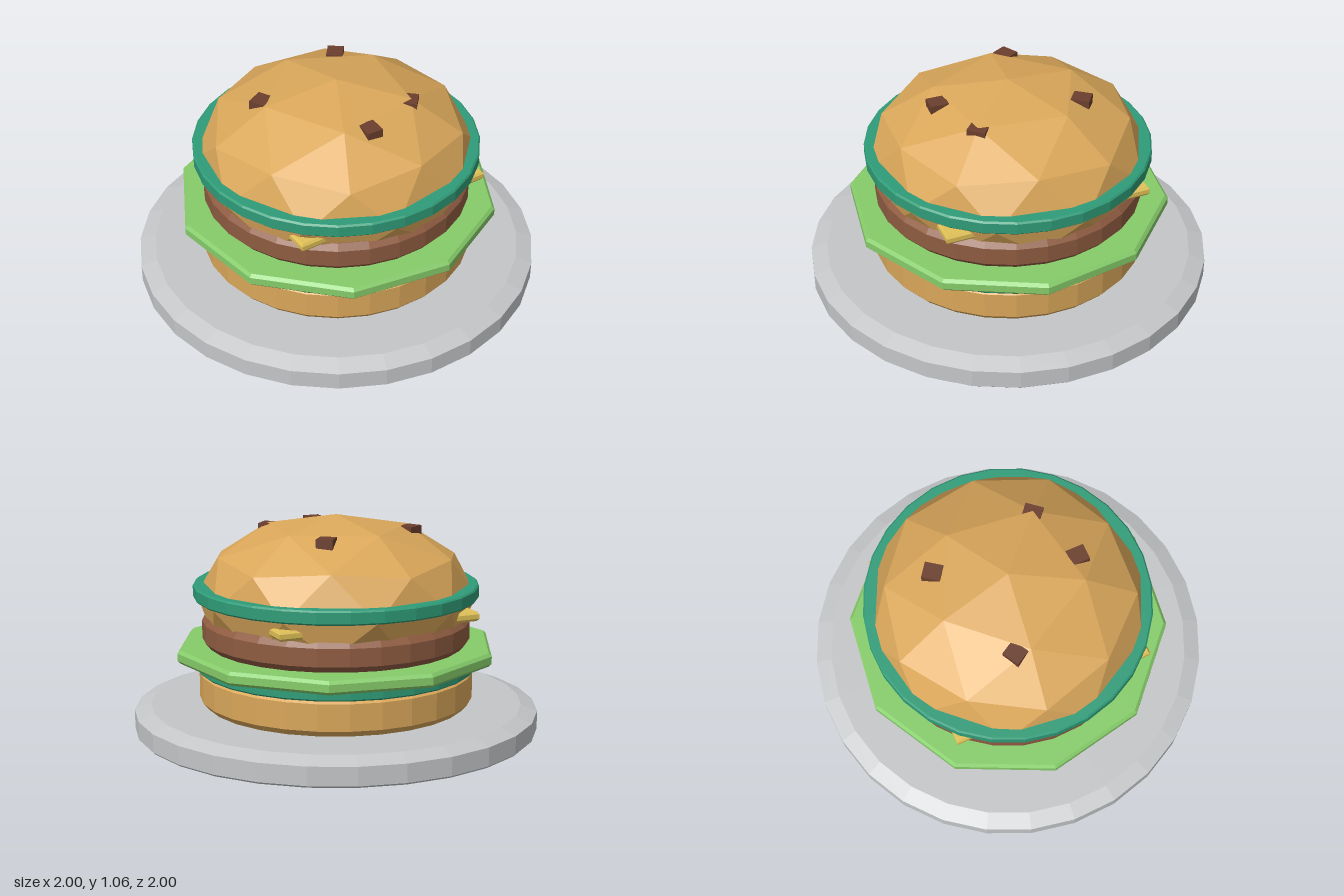
import * as THREE from 'three';

const material = (name, color) => {
  const m = new THREE.MeshStandardMaterial({ color, flatShading: true });
  m.name = name;
  return m;
};

export function createModel() {
  const group = new THREE.Group();
  const mats = {
    plate: material('plate grey', 0xc4c6c8),
    bun: material('bun tan', 0xdaa75a),
    teal: material('teal garnish', 0x2f9c78),
    lettuce: material('lettuce green', 0x86cc6a),
    patty: material('patty brown', 0x8f5c41),
    cheese: material('cheese yellow', 0xe2c258),
    crumb: material('crumb brown', 0x6b3f2d),
  };

  const add = (name, geometry, mat) => {
    const mesh = new THREE.Mesh(geometry, mat);
    mesh.name = name;
    group.add(mesh);
    return mesh;
  };

  // Closed disc with bevelled rims; bevels are [inset, height]
  const disc = (name, mat, r, y0, y1, low, high, sides = 28, start = 0) => {
    const profile = [
      [0, y0], [r - low[0], y0], [r, y0 + low[1]],
      [r, y1 - high[1]], [r - high[0], y1], [0, y1],
    ].map(([x, y]) => new THREE.Vector2(x, y));
    return add(name, new THREE.LatheGeometry(profile, sides, start), mat);
  };

  // Stacked layers from the plate upwards
  disc('plate', mats.plate, 1, 0, 0.13, [0.01, 0.01], [0.08, 0.03]);
  disc('bottomBun', mats.bun, 0.677, 0.13, 0.31, [0.025, 0.03], [0.025, 0.02]);
  disc('lowerGarnish', mats.teal, 0.69, 0.305, 0.366, [0.008, 0.008], [0.008, 0.008]);
  disc('lettuce', mats.lettuce, 0.795, 0.362, 0.428, [0.015, 0.015], [0.015, 0.015], 10, Math.PI / 2);
  disc('patty', mats.patty, 0.66, 0.428, 0.575, [0.025, 0.03], [0.025, 0.03]);
  disc('cheese', mats.cheese, 0.73, 0.582, 0.628, [0.012, 0.012], [0.012, 0.012], 4);
  disc('upperGarnish', mats.teal, 0.702, 0.66, 0.728, [0.008, 0.008], [0.008, 0.008]);

  // Faceted top bun: icosphere with one vertex pointing up, squashed
  const bun = new THREE.IcosahedronGeometry(1, 1);
  bun.rotateZ(-Math.atan(2 / (1 + Math.sqrt(5))));
  bun.scale(0.69, 0.4, 0.69);
  bun.translate(0, 0.66, 0);
  add('topBun', bun, mats.bun);

  // Crumbs half sunk in the bun: x, z, turn
  const crumbs = new THREE.Group();
  crumbs.name = 'crumbs';
  group.add(crumbs);
  [[-0.08, -0.345, 0.12], [0.355, 0, 0.05], [-0.33, 0.15, -0.3], [0.22, 0.27, 0.75]]
    .forEach(([x, z, turn]) => {
      const crumb = add('crumb', new THREE.BoxGeometry(0.08, 0.08, 0.09), mats.crumb);
      crumb.position.set(x, 0.96, z);
      crumb.rotation.y = turn;
      crumbs.add(crumb);
    });

  return group;
}
